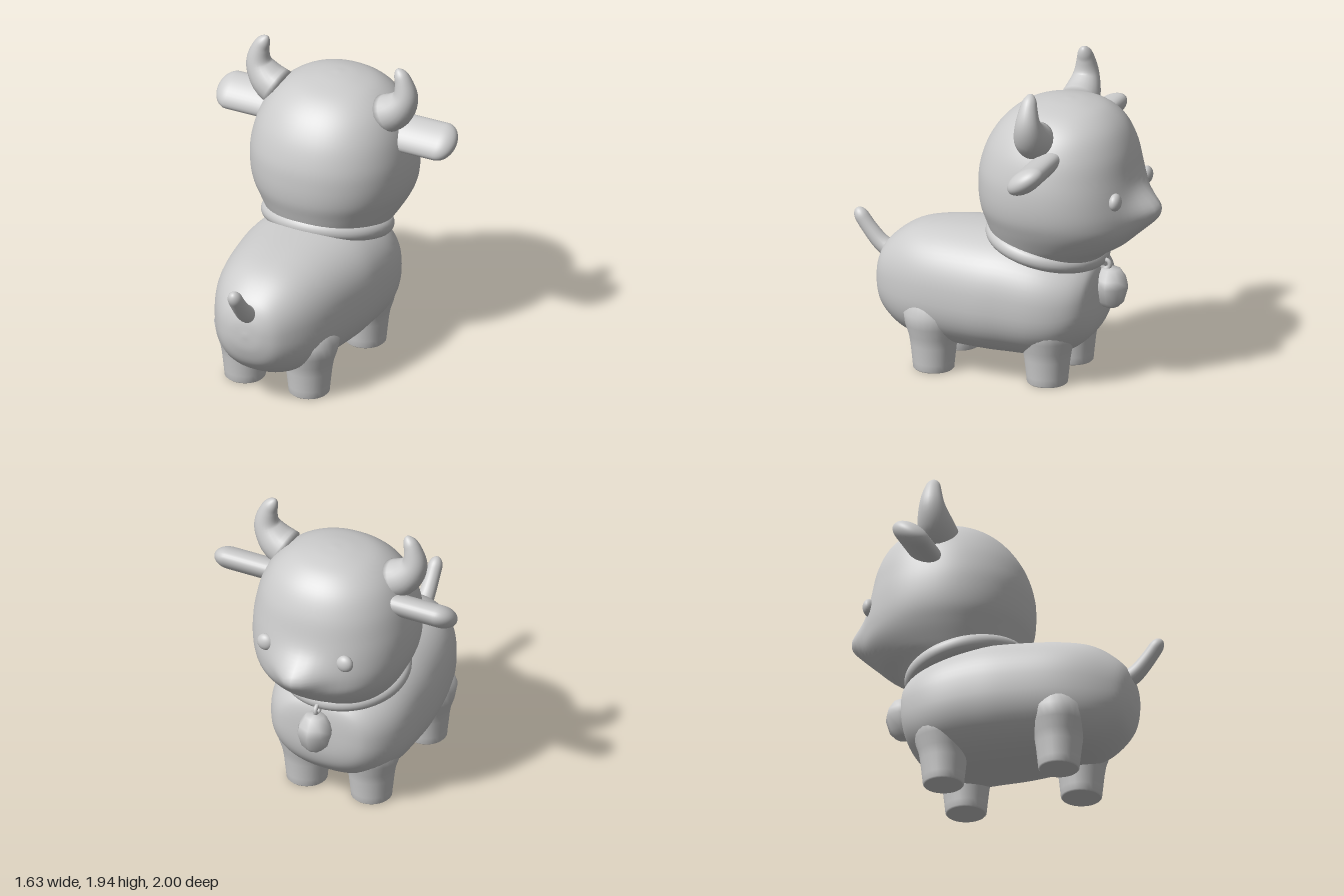
import * as THREE from 'three';
import { mergeVertices } from 'three/addons/utils/BufferGeometryUtils.js';

const clay = new THREE.MeshStandardMaterial({ color: 0xcccccc });
clay.name = 'grey clay';

// Closed smooth skin over rings of points; point(s, angle) with s from 0 to 1
function skin(rings, sides, point) {
  const pos = [], index = [];
  for (let i = 0; i <= rings; i++) {
    for (let j = 0; j < sides; j++) {
      pos.push(...point(i / rings, (j / sides) * Math.PI * 2).toArray());
      if (i === rings) continue;
      const a = i * sides + j, b = i * sides + ((j + 1) % sides);
      index.push(a, a + sides, b, b, a + sides, b + sides);
    }
  }
  let g = new THREE.BufferGeometry();
  g.setAttribute('position', new THREE.Float32BufferAttribute(pos, 3));
  g.setIndex(index);
  g = mergeVertices(g, 1e-5);
  g.computeVertexNormals();
  return g;
}

// Rows are [station, low edge, high edge, half width]; place(x, across, station) gives the point
function loft(rows, power, place) {
  const spline = (f) => new THREE.CatmullRomCurve3(rows.map(f), false, 'catmullrom', 0.5);
  const edges = spline((r) => new THREE.Vector3(r[0], r[1], r[2]));
  const widths = spline((r) => new THREE.Vector3(r[3], 0, 0));
  const bulge = (v) => Math.sign(v) * Math.pow(Math.abs(v), 2 / power);
  return skin(66, 64, (s, angle) => {
    const e = edges.getPoint(s), w = Math.max(0, widths.getPoint(s).x);
    const x = w * bulge(Math.cos(angle));
    const across = (e.y + e.z) / 2 + ((e.z - e.y) / 2) * bulge(Math.sin(angle));
    return place(x, across, e.x);
  });
}

// Tapered planar tube, closed at the root, with a round tip; axis is perpendicular to its plane
function horn(points, radii, axis, roundFrom) {
  const curve = new THREE.CatmullRomCurve3(points.map((p) => new THREE.Vector3(...p)));
  const size = new THREE.CatmullRomCurve3(radii.map((r, i) => new THREE.Vector3(i, r, 0)), false, 'catmullrom', 0.5);
  return skin(28, 24, (s, angle) => {
    const t = 1 - (1 - s) ** 2;
    const side = axis.clone().cross(curve.getTangent(t)).normalize();
    const k = Math.max(0, (t - roundFrom) / (1 - roundFrom));
    const r = s === 0 ? 0 : size.getPoint(t).y * Math.sqrt(Math.max(0, 1 - k * k));
    return curve.getPoint(t).addScaledVector(side, r * Math.cos(angle)).addScaledVector(axis, -r * Math.sin(angle));
  });
}

export function createModel() {
  const model = new THREE.Group();
  model.name = 'calf';
  const add = (name, geometry, x = 0, y = 0, z = 0) => {
    const m = new THREE.Mesh(geometry, clay);
    m.name = name;
    m.position.set(x, y, z);
    model.add(m);
    return m;
  };
  const lathe = (profile, sides) =>
    new THREE.LatheGeometry(profile.map(([r, y]) => new THREE.Vector2(r, y)), sides);

  // Body, from rump (+z) to chest (-z)
  add('body', loft([
    [0.825, 0.52, 0.52, 0], [0.81, 0.4, 0.63, 0.12], [0.75, 0.28, 0.74, 0.22],
    [0.6, 0.18, 0.85, 0.325], [0.4, 0.15, 0.895, 0.4], [0.1, 0.135, 0.915, 0.455],
    [-0.1, 0.135, 0.915, 0.465], [-0.3, 0.14, 0.88, 0.455], [-0.45, 0.18, 0.83, 0.41],
    [-0.56, 0.27, 0.77, 0.33], [-0.61, 0.38, 0.7, 0.22], [-0.625, 0.54, 0.54, 0],
  ], 2.35, (x, y, z) => new THREE.Vector3(x, y, z)));

  // Head, from neck to crown, with the muzzle swelling out of its face (-z)
  add('head', loft([
    [0.68, -0.3, -0.3, 0], [0.7, -0.48, -0.1, 0.22], [0.76, -0.59, 0, 0.32],
    [0.83, -0.68, 0.04, 0.36], [0.9, -0.79, 0.075, 0.405], [1.0, -0.87, 0.11, 0.46],
    [1.1, -0.88, 0.14, 0.497], [1.22, -0.865, 0.15, 0.51], [1.35, -0.84, 0.14, 0.5],
    [1.5, -0.805, 0.09, 0.46], [1.63, -0.74, 0.0, 0.385], [1.72, -0.64, -0.12, 0.27],
    [1.762, -0.52, -0.27, 0.13], [1.775, -0.4, -0.4, 0],
  ], 2.15, (x, z, y) => {
    const muzzle = Math.exp(-((x / 0.15) ** 2) - ((y - 1.12) / 0.11) ** 2);
    return new THREE.Vector3(x, y, z < -0.4 ? z - 0.12 * muzzle : z);
  }));

  // Collar sloping down to the chest
  const collar = add('collar', new THREE.TorusGeometry(0.36, 0.055, 20, 64).scale(1, 0.93, 1), 0, 0.842, -0.262);
  collar.rotation.x = Math.PI / 2 - 0.234;

  // Faceted bell and its hanging loop
  add('bell', lathe([[0, -0.13], [0.05, -0.128], [0.085, -0.09], [0.112, 0.0], [0.1, 0.05],
    [0.06, 0.11], [0, 0.115]], 8), 0, 0.59, -0.67);
  add('bellLoop', new THREE.TorusGeometry(0.028, 0.014, 10, 20), 0, 0.725, -0.635).rotation.y = Math.PI / 2;

  // Tail
  add('tail', horn([[0, 0.61, 0.7], [0, 0.675, 0.815], [0, 0.76, 0.895], [0, 0.885, 0.985]],
    [0.065, 0.054, 0.048, 0.044], new THREE.Vector3(1, 0, 0), 0.86));

  for (const side of [1, -1]) {
    const name = side > 0 ? 'left' : 'right';

    // Horns curling out and up
    add(name + 'Horn', horn(
      [[0.33, 1.585], [0.44, 1.65], [0.502, 1.745], [0.492, 1.85], [0.448, 1.937]]
        .map(([x, y]) => [x * side, y, -0.32]),
      [0.125, 0.112, 0.082, 0.056, 0.034], new THREE.Vector3(0, 0, 1), 0.85));

    // Flattened ears
    const ear = new THREE.CapsuleGeometry(0.1, 0.35, 12, 32).rotateZ(Math.PI / 2).scale(1, 0.7, 1.3);
    add(name + 'Ear', ear, side * 0.54, 1.468, -0.385).rotation.x = 0.6;

    // Eyes
    add(name + 'Eye', new THREE.SphereGeometry(0.055, 24, 16).scale(1, 1, 0.7), side * 0.27, 1.235, -0.8);

    // Legs flaring into the body
    for (const [place, z] of [['Front', -0.34], ['Back', 0.4]]) {
      add(name + place + 'Leg', lathe([[0, 0], [0.118, 0], [0.118, 0], [0.126, 0.008], [0.13, 0.05],
        [0.142, 0.16], [0.152, 0.22], [0.175, 0.29], [0.19, 0.37], [0.15, 0.48], [0, 0.52]], 28), side * 0.22, 0, z);
    }
  }
  return model;
}
